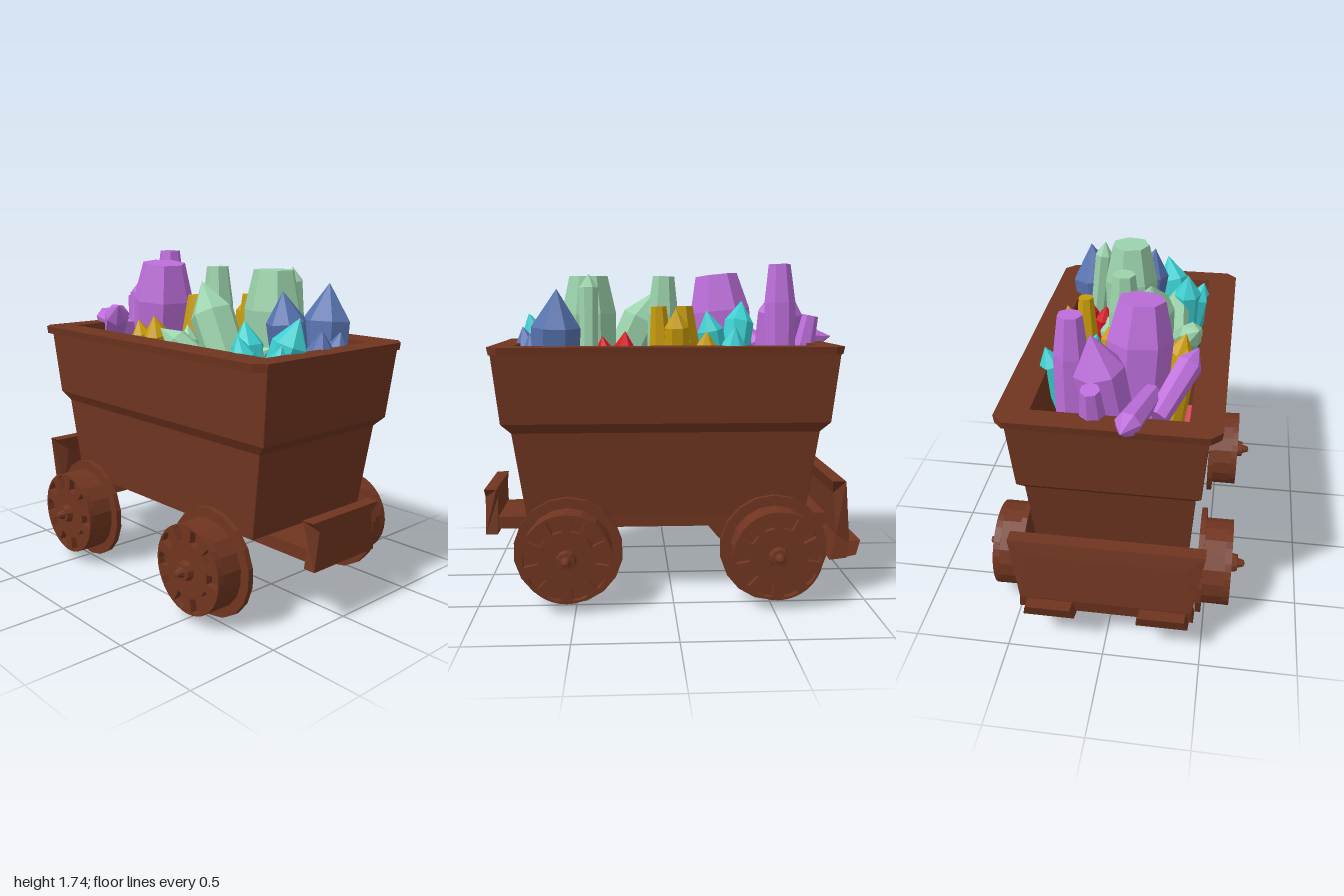
import * as THREE from 'three';

const mat = (name, color) => {
  const m = new THREE.MeshStandardMaterial({ color, flatShading: true });
  m.name = name;
  return m;
};

// Ring of a box with chamfered corners, counter-clockwise from above
function ring([hx, hz, y, c]) {
  const cx = 0.03, cz = 0.01;
  return [[hx - c, hz], [hx, hz - c], [hx, c - hz], [hx - c, -hz],
    [c - hx, -hz], [-hx, c - hz], [-hx, hz - c], [c - hx, hz]].map(([x, z]) => [x + cx, y, z + cz]);
}

// Skin through a closed series of rings
function closedLoft(sections) {
  const rings = sections.map(ring), n = 8, pos = [];
  rings.forEach((r, i) => {
    const s = rings[(i + 1) % rings.length];
    for (let j = 0; j < n; j++) {
      const k = (j + 1) % n;
      pos.push(...r[j], ...r[k], ...s[k], ...r[j], ...s[k], ...s[j]);
    }
  });
  const g = new THREE.BufferGeometry();
  g.setAttribute('position', new THREE.Float32BufferAttribute(pos, 3));
  g.computeVertexNormals();
  return g;
}

// Side profile in x/y given a width that changes with height
function flaredPlate(profile, widths) {
  const shape = new THREE.Shape(profile.map(p => new THREE.Vector2(...p)));
  const g = new THREE.ExtrudeGeometry(shape, { depth: 2, bevelEnabled: false });
  g.translate(0, 0, -1);
  const p = g.attributes.position;
  for (let i = 0; i < p.count; i++) {
    const y = p.getY(i);
    let k = 0;
    while (k < widths.length - 2 && y > widths[k + 1][0]) k++;
    const [y0, w0] = widths[k], [y1, w1] = widths[k + 1];
    p.setZ(i, p.getZ(i) * THREE.MathUtils.lerp(w0, w1, (y - y0) / (y1 - y0)) + 0.005);
  }
  g.computeVertexNormals();
  return g;
}

// Faceted crystal from base to tip, pointed or cut flat
function crystalGeometry(length, r, flat) {
  const shoulder = length - Math.min(flat ? 0.2 : r * 1.5, length * 0.5);
  const pts = [[0, 0], [r * 0.85, 0], [r, shoulder]];
  if (flat) pts.push([r * 0.7, length]);
  pts.push([0, length]);
  return new THREE.LatheGeometry(pts.map(p => new THREE.Vector2(...p)), 7);
}

export function createModel() {
  const model = new THREE.Group();
  model.name = 'mineCart';
  const brown = mat('cartBrown', 0x703520);
  const floorRed = mat('floorRed', 0xd64a62);
  const purple = mat('crystalPurple', 0xbd6edb);
  const green = mat('crystalGreen', 0x9bd2ab);
  const yellow = mat('crystalYellow', 0xc99d08);
  const cyan = mat('crystalCyan', 0x3bd0d2);
  const blue = mat('crystalBlue', 0x5873b0);
  const red = mat('crystalRed', 0xd41222);

  const add = (parent, name, geometry, material, x = 0, y = 0, z = 0) => {
    const m = new THREE.Mesh(geometry, material);
    m.name = name;
    m.position.set(x, y, z);
    parent.add(m);
    return m;
  };
  const box = (name, x0, x1, y0, y1, z0, z1, material = brown) =>
    add(model, name, new THREE.BoxGeometry(x1 - x0, y1 - y0, z1 - z0), material,
      (x0 + x1) / 2, (y0 + y1) / 2, (z0 + z1) / 2);

  // Hollow tub with an overhanging rim: half length, half width, height, corner chamfer
  add(model, 'tub', closedLoft([
    [0.73, 0.395, 0.44, 0.003], [0.794, 0.42, 0.88, 0.003], [0.845, 0.448, 0.93, 0.003],
    [0.886, 0.472, 1.315, 0.003], [0.889, 0.524, 1.283, 0.045], [0.898, 0.53, 1.322, 0.055],
    [0.775, 0.372, 1.322, 0.003], [0.71, 0.365, 0.44, 0.003],
  ]), brown);
  box('tubBottom', -0.685, 0.745, 0.44, 0.447, -0.36, 0.38);
  box('floor', -0.683, 0.743, 0.447, 0.455, -0.358, 0.378, floorRed);

  // Undercarriage beams joining the end plates
  for (const z of [-0.165, 0.175]) box('frameBeam', -0.87, 0.95, 0.325, 0.39, z - 0.03, z + 0.03);
  box('framePlate', -0.87, 0.95, 0.365, 0.388, -0.14, 0.15);

  // End plates
  add(model, 'tallEndPlate', flaredPlate(
    [[-0.825, 0.2], [-0.86, 0.33], [-0.845, 0.55], [-0.82, 0.63], [-0.89, 0.63],
      [-0.905, 0.55], [-0.93, 0.29], [-0.915, 0.21]],
    [[0.2, 0.452], [0.55, 0.405], [0.63, 0.495]]), brown);
  add(model, 'smallEndPlate', flaredPlate(
    [[0.935, 0.3], [1, 0.3], [1, 0.5], [1, 0.55], [0.935, 0.55], [0.935, 0.5]],
    [[0.3, 0.225], [0.5, 0.195], [0.55, 0.245]]), brown);
  for (const z of [-0.285, 0.295]) {
    const foot = add(model, 'plateFoot', flaredPlate(
      [[-0.975, 0.215], [-0.9, 0.2], [-0.9, 0.28], [-1, 0.29]], [[0.2, 0.135], [0.29, 0.115]]), brown);
    foot.position.z = z;
  }

  // Wheels: flange inside, drum, slotted face and pointed hub
  const face = new THREE.Shape().absarc(0, 0, 0.228, 0, Math.PI * 2);
  for (let i = 0; i < 10; i++) {
    const a = i * Math.PI / 5, h = 0.17;
    const slot = new THREE.Path();
    [[0.145, -h], [0.214, -h], [0.218, 0], [0.214, h], [0.145, h]].forEach(([r, d], k) =>
      slot[k ? 'lineTo' : 'moveTo'](r * Math.cos(a + d), r * Math.sin(a + d)));
    face.holes.push(slot);
  }
  const faceGeo = new THREE.ExtrudeGeometry(face, { depth: 0.035, bevelEnabled: false, curveSegments: 18 });
  const flangeGeo = new THREE.CylinderGeometry(0.28, 0.28, 0.03, 18).rotateX(Math.PI / 2);
  const drumGeo = new THREE.CylinderGeometry(0.228, 0.228, 0.12, 18).rotateX(Math.PI / 2);
  const hubGeo = new THREE.LatheGeometry([[0.052, 0], [0.045, 0.035], [0.027, 0.037], [0.017, 0.07], [0, 0.075]]
    .map(p => new THREE.Vector2(...p)), 10).rotateX(Math.PI / 2);
  for (const x of [-0.52, 0.54]) for (const side of [1, -1]) {
    const wheel = new THREE.Group();
    wheel.name = 'wheel';
    add(wheel, 'wheelFlange', flangeGeo, brown, 0, 0, 0.47);
    add(wheel, 'wheelDrum', drumGeo, brown, 0, 0, 0.535);
    add(wheel, 'wheelFace', faceGeo, brown, 0, 0, 0.595);
    add(wheel, 'wheelHub', hubGeo, brown, 0, 0, 0.628);
    wheel.position.set(x, 0.28, 0);
    if (side < 0) wheel.rotation.y = Math.PI;
    model.add(wheel);
  }

  // Crystals: tip x, y, z, base x, y, z, radius, flat top
  const crystals = (name, material, list) => list.forEach(([tx, ty, tz, bx, by, bz, r, flat]) => {
    const base = new THREE.Vector3(bx, by, bz);
    const dir = new THREE.Vector3(tx, ty, tz).sub(base);
    const m = add(model, name, crystalGeometry(dir.length(), r, flat), material, bx, by, bz);
    m.quaternion.setFromUnitVectors(new THREE.Vector3(0, 1, 0), dir.normalize());
  });
  crystals('purpleCrystal', purple, [
    [-0.27, 1.69, 0.1, -0.38, 0.6, 0.06, 0.17, 1],
    [-0.62, 1.67, -0.09, -0.54, 0.7, 0.08, 0.125],
    [-0.575, 1.74, -0.19, -0.6, 0.5, -0.2, 0.085, 1],
    [-0.93, 1.35, 0.09, -0.5, 1.3, 0.18, 0.065],
    [-0.31, 1.47, 0.39, -0.6, 1.24, 0.22, 0.068],
    [-0.77, 1.47, -0.07, -0.64, 0.85, -0.06, 0.068, 1],
    [-0.15, 1.3, -0.03, -0.23, 0.9, -0.18, 0.05],
    [-0.47, 1.32, -0.28, -0.32, 0.9, -0.2, 0.045],
  ]);
  crystals('greenCrystal', green, [
    [0.435, 1.68, -0.05, 0.43, 0.5, -0.04, 0.15, 1],
    [0.03, 1.68, -0.03, 0.05, 0.6, -0.03, 0.085, 1],
    [0.06, 1.61, 0.11, 0.4, 0.9, 0.1, 0.12],
    [0.03, 1.38, 0.37, 0.36, 1.1, 0.19, 0.07],
    [0.66, 1.33, 0.2, 0.36, 1.15, 0.23, 0.07],
    [0.43, 1.69, -0.19, 0.43, 0.6, -0.31, 0.05],
    [0.23, 1.35, -0.15, 0.13, 0.8, -0.05, 0.06],
    [0.31, 1.3, -0.27, 0.42, 0.9, -0.22, 0.035],
    [0.0, 1.38, 0.16, 0.05, 0.8, 0.15, 0.055],
  ]);
  crystals('yellowCrystal', yellow, [
    [-0.06, 1.52, 0.01, -0.08, 0.6, 0.01, 0.105, 1],
    [0.065, 1.52, -0.24, 0.03, 0.6, -0.22, 0.058, 1],
    [-0.02, 1.51, -0.32, -0.06, 0.6, -0.22, 0.065],
    [-0.18, 1.4, -0.34, -0.15, 0.6, -0.2, 0.07],
    [-0.21, 1.4, 0.33, -0.12, 0.8, 0.26, 0.055],
    [-0.1, 1.43, 0.31, -0.13, 0.8, 0.18, 0.07],
    [-0.25, 1.3, -0.12, -0.12, 0.8, -0.06, 0.06],
    [0.06, 1.36, -0.12, -0.02, 0.8, -0.1, 0.045],
  ]);
  crystals('cyanCrystal', cyan, [
    [0.78, 1.48, 0.13, 0.64, 0.9, 0.27, 0.09],
    [0.55, 1.46, 0.27, 0.65, 0.9, 0.26, 0.08],
    [0.6, 1.4, 0.36, 0.66, 0.9, 0.26, 0.065],
    [0.78, 1.36, 0.25, 0.66, 0.9, 0.26, 0.06],
    [-0.32, 1.42, -0.38, -0.3, 0.9, -0.24, 0.065],
    [-0.39, 1.55, -0.1, -0.29, 0.9, -0.25, 0.08],
    [-0.18, 1.5, -0.29, -0.3, 0.9, -0.24, 0.07],
  ]);
  crystals('blueCrystal', blue, [
    [0.59, 1.61, -0.3, 0.62, 0.6, -0.2, 0.13],
    [0.61, 1.59, 0.07, 0.65, 0.6, -0.07, 0.1],
    [0.8, 1.41, -0.01, 0.66, 0.8, -0.1, 0.085],
    [0.74, 1.38, -0.22, 0.65, 0.8, -0.15, 0.08],
  ]);
  crystals('redCrystal', red, [
    [0.27, 1.32, -0.33, 0.28, 0.8, -0.22, 0.045],
    [0.36, 1.37, -0.28, 0.28, 0.8, -0.22, 0.05],
    [0.24, 1.39, -0.16, 0.28, 0.8, -0.22, 0.055],
  ]);
  return model;
}
